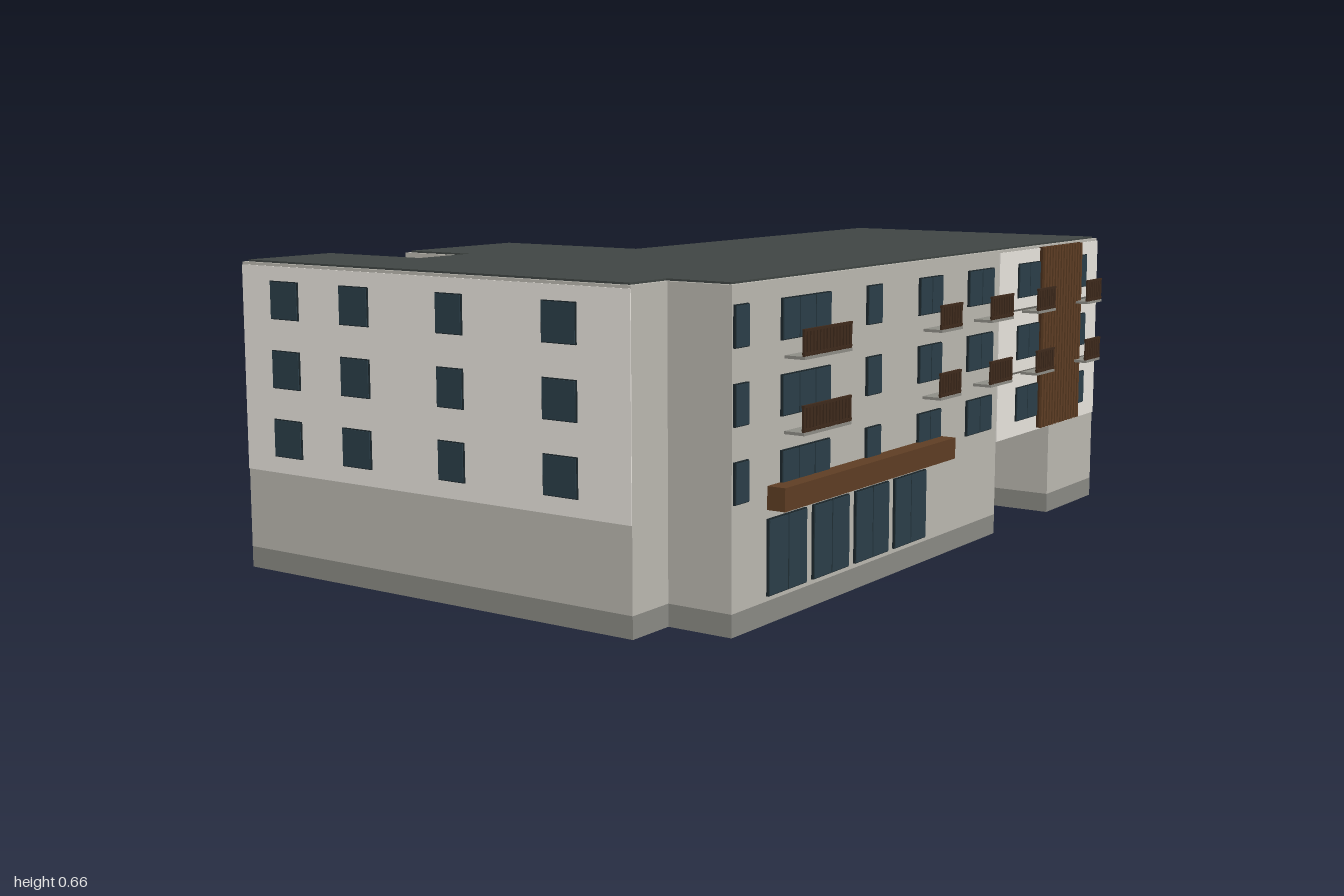
import * as THREE from 'three';

const mat = (color) => new THREE.MeshStandardMaterial({ color });
const M = {
  wall: mat(0xbdbab2), white: mat(0xebe7e0), plinth: mat(0x8c8c86), roof: mat(0x404644),
  glass: mat(0x2b3f49), frame: mat(0x1d282d), wood: mat(0x5f3e24), slat: mat(0x4a2f1b),
  rail: mat(0x3f2a1c), slab: mat(0x8f8e87), line: mat(0x6a6862),
};

// Plan, in the building's own axes: u along the long front, v outwards from it
const outline = [
  [0, 0], [1.64, 0], [1.64, -0.69], [0.63, -0.69], [0.63, -1.068], [0.278, -1.068],
  [0.278, -0.896], [0.14, -0.896], [0.14, -1.163], [-0.112, -1.163], [-0.112, -0.144], [0, -0.144],
];
const groundMain = [[0, 0], [1.09, 0], [1.09, -0.25], [0.79, -0.25], [0.79, -0.69], ...outline.slice(3)];
const rect = (u0, u1, v0, v1) => [[u0, v1], [u1, v1], [u1, v0], [u0, v0]];
const groundEnd = rect(1.38, 1.64, -0.69, 0);
const annex = rect(1.64, 1.772, -0.568, -0.304);

const H = 0.66, EAVES = 0.65, GROUND = 0.215, PLINTH = 0.045;
const ROWS = [0.25, 0.395, 0.54], WIN_H = 0.08;

const toVec = (pts) => pts.map(([u, v]) => new THREE.Vector2(u, -v));

// Moves every side of a right-angled plan inwards by d
function inset(pts, d) {
  const n = pts.length;
  const dir = (a, b) => [0, 1].map((k) => Math.sign(Math.round((b[k] - a[k]) * 1e3)));
  return pts.map((p, i) => {
    const e1 = dir(pts[(i + n - 1) % n], p), e2 = dir(p, pts[(i + 1) % n]);
    return [p[0] + d * (e1[1] + e2[1]), p[1] - d * (e1[0] + e2[0])];
  });
}

// Upright prism over a plan, with an optional hole
function prism(parent, name, pts, y0, y1, material, hole) {
  const shape = new THREE.Shape(toVec(pts));
  if (hole) shape.holes.push(new THREE.Path(toVec(hole)));
  const geo = new THREE.ExtrudeGeometry(shape, { depth: y1 - y0, bevelEnabled: false });
  geo.rotateX(-Math.PI / 2);
  const mesh = new THREE.Mesh(geo, material);
  mesh.position.y = y0;
  mesh.name = name;
  parent.add(mesh);
}

// Box given by its limits
function box(parent, name, x0, x1, y0, y1, z0, z1, material) {
  const mesh = new THREE.Mesh(new THREE.BoxGeometry(x1 - x0, y1 - y0, z1 - z0), material);
  mesh.position.set((x0 + x1) / 2, (y0 + y1) / 2, (z0 + z1) / 2);
  mesh.name = name;
  parent.add(mesh);
}

// Framed window on a wall facing +z
function addWindow(parent, name, x0, x1, y0, y1, panes) {
  const g = new THREE.Group();
  g.name = name;
  box(g, 'windowFrame', x0, x1, y0, y1, -0.004, 0.005, M.frame);
  const w = (x1 - x0) / panes, t = 0.002;
  for (let i = 0; i < panes; i++) {
    box(g, 'windowPane', x0 + i * w + t, x0 + (i + 1) * w - t, y0 + t, y1 - t, 0, 0.007, M.glass);
  }
  parent.add(g);
}

// Balcony: thin floor slab with a barred railing along its front
function addBalcony(parent, x0, x1, y) {
  const g = new THREE.Group();
  g.name = 'balcony';
  const d = 0.045, top = y + 0.052;
  box(g, 'balconySlab', x0, x1, y - 0.006, y, 0, d, M.slab);
  box(g, 'handrail', x0, x1, top - 0.005, top, d - 0.006, d, M.rail);
  box(g, 'bottomRail', x0, x1, y + 0.003, y + 0.007, d - 0.006, d, M.rail);
  const n = Math.round((x1 - x0) / 0.013);
  for (let i = 0; i <= n; i++) {
    const x = x0 + 0.004 + (x1 - x0 - 0.008) * i / n;
    box(g, 'railingBar', x - 0.004, x + 0.004, y, top, d - 0.005, d - 0.001, M.rail);
  }
  parent.add(g);
}

export function createModel() {
  const model = new THREE.Group();
  model.name = 'apartmentBuilding';
  const b = new THREE.Group();
  b.name = 'building';
  b.rotation.y = 0.915;
  b.position.set(-0.01, 0, 0.87);
  model.add(b);

  // Ground floor with a passage through it, and the upper floors bridging it
  for (const [name, plan] of [['groundFloor', groundMain], ['endBlock', groundEnd]]) {
    prism(b, name + 'Plinth', plan, 0, PLINTH, M.plinth);
    prism(b, name + 'Walls', plan, PLINTH, GROUND, M.wall);
  }
  prism(b, 'upperFloors', outline, GROUND, EAVES, M.wall);
  prism(b, 'annexPlinth', annex, 0, PLINTH, M.plinth);
  prism(b, 'annexWalls', annex, PLINTH, 0.642, M.wall);
  prism(b, 'annexRoof', annex, 0.642, EAVES, M.roof);

  // Dark roof and its light edge
  const inner = inset(outline, 0.009);
  prism(b, 'roof', inner, EAVES, H, M.roof);
  prism(b, 'roofEdge', outline, EAVES, H - 0.004, M.wall, inner);

  // Passage post
  const post = new THREE.Mesh(new THREE.CylinderGeometry(0.008, 0.008, GROUND, 12), M.plinth);
  post.position.set(1.095, GROUND / 2, -0.67);
  post.name = 'passagePost';
  b.add(post);

  // Light cladding on the wing and the short end
  box(b, 'frontCladding', 1.09, 1.642, GROUND, EAVES, -0.01, 0.002, M.white);
  box(b, 'endCladding', 1.63, 1.642, GROUND, EAVES, -0.69, 0.002, M.white);
  for (const y of [0.365, 0.512]) box(b, 'claddingJoint', 1.09, 1.642, y - 0.002, y + 0.002, 0, 0.004, M.line);

  // Long front: windows and balconies
  const front = new THREE.Group();
  front.name = 'longFront';
  b.add(front);
  const columns = [
    [0.004, 0.05, 1], [0.164, 0.34, 3], [0.485, 0.543, 1], [0.706, 0.807, 2],
    [0.933, 1.055, 2], [1.185, 1.3, 2], [1.5, 1.57, 1],
  ];
  for (const y of ROWS) {
    for (const [x0, x1, panes] of columns) addWindow(front, 'frontWindow', x0, x1, y, y + WIN_H, panes);
  }
  const balconies = [[0.178, 0.355], [0.73, 0.825], [0.968, 1.078], [1.21, 1.305], [1.49, 1.575]];
  for (const y of [0.365, 0.51]) for (const [x0, x1] of balconies) addBalcony(front, x0, x1, y);

  // Shop windows under a timber canopy
  for (let i = 0; i < 4; i++) {
    const x = 0.118 + i * 0.163;
    addWindow(front, 'shopWindow', x, x + 0.137, 0.055, 0.205, 2);
  }
  box(front, 'canopy', 0.12, 0.81, 0.222, 0.268, 0, 0.04, M.wood);

  // Timber slat panel
  box(front, 'slatPanelBack', 1.303, 1.525, 0.22, 0.652, 0, 0.009, M.slat);
  for (let i = 0; i < 14; i++) {
    const x = 1.304 + i * 0.0159;
    box(front, 'timberSlat', x, x + 0.009, 0.22, 0.652, 0.005, 0.015, M.wood);
  }

  // Short front, turned to face along -u
  const side = new THREE.Group();
  side.name = 'shortFront';
  side.rotation.y = -Math.PI / 2;
  side.position.x = -0.112;
  b.add(side);
  box(side, 'sideCladding', -1.163, -0.144, GROUND, EAVES, -0.01, 0.002, M.white);
  for (const y of ROWS) {
    for (const [c, w] of [[-1.037, 0.08], [-0.838, 0.08], [-0.582, 0.068], [-0.309, 0.083]]) {
      addWindow(side, 'sideWindow', c - w / 2, c + w / 2, y, y + WIN_H, 1);
    }
  }
  return model;
}
